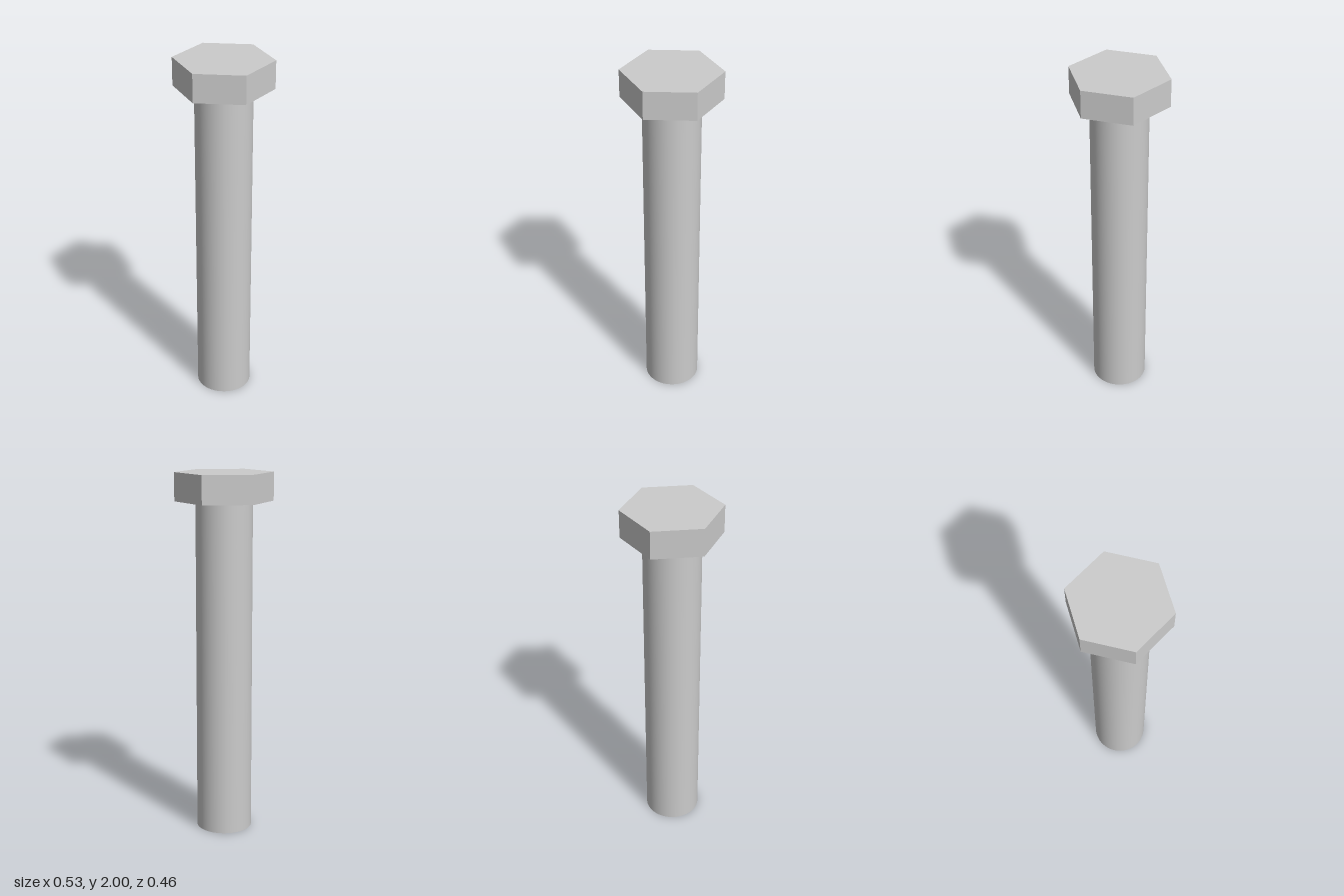
import * as THREE from 'three';

const HEIGHT = 2;
const HEAD_HEIGHT = 0.154;
const HEAD_RADIUS = 0.2665; // centre to corner
const SHANK_RADIUS = 0.154;

export function createModel() {
  const group = new THREE.Group();
  group.name = 'hexBolt';

  // Adds an upright cylinder or prism standing between two heights
  const addColumn = (name, radius, bottom, top, sides, flatShading) => {
    const geometry = new THREE.CylinderGeometry(
      radius, radius, top - bottom, sides, 1, false, Math.PI / 2);
    const material = new THREE.MeshStandardMaterial({ color: 0xcccccc, flatShading });
    const mesh = new THREE.Mesh(geometry, material);
    mesh.name = name;
    mesh.position.y = (bottom + top) / 2;
    group.add(mesh);
  };

  // Smooth round shank
  addColumn('shank', SHANK_RADIUS, 0, HEIGHT - HEAD_HEIGHT, 64, false);

  // Six-sided head with corners on the x axis
  addColumn('head', HEAD_RADIUS, HEIGHT - HEAD_HEIGHT, HEIGHT, 6, true);

  return group;
}
